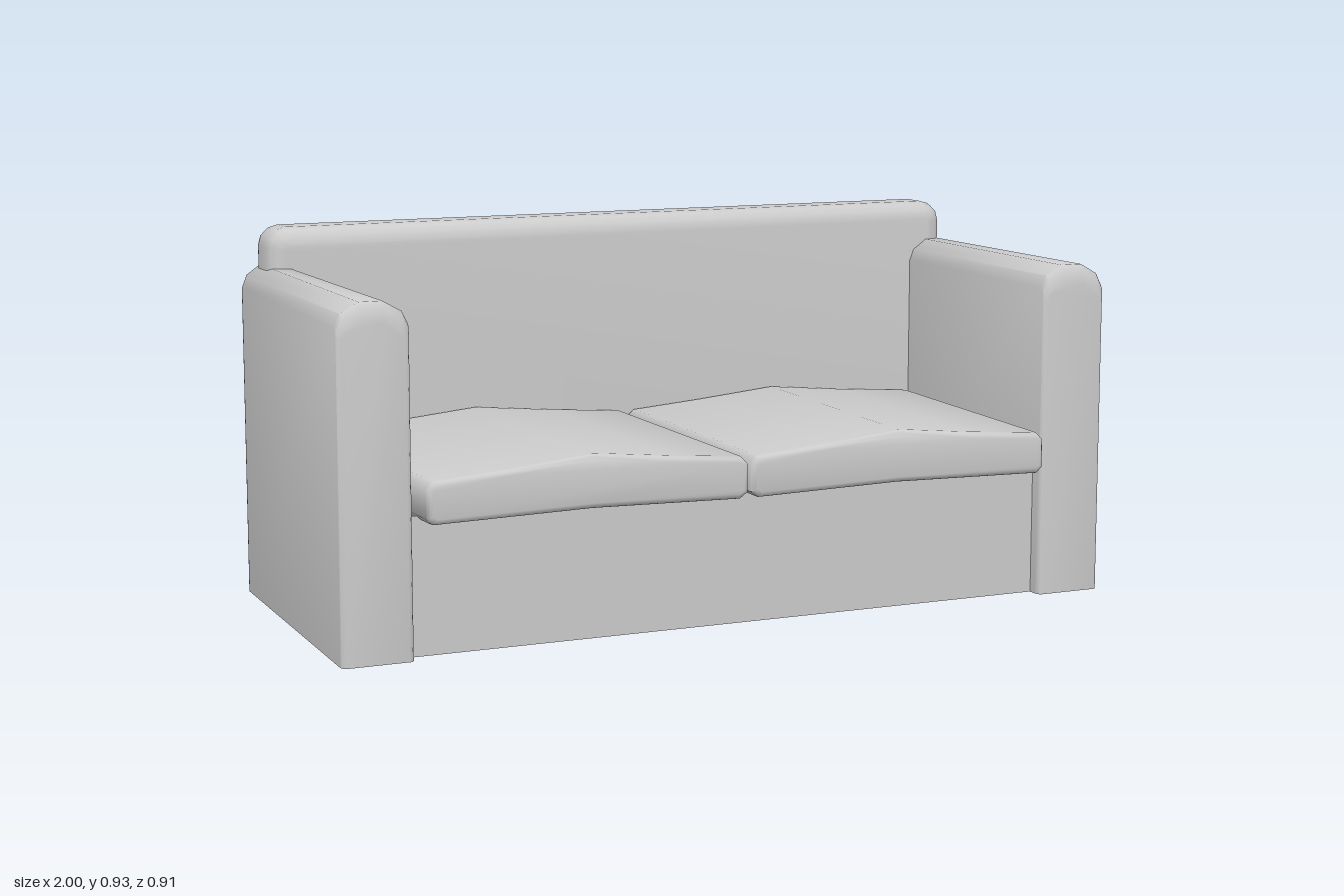
import * as THREE from 'three';
import { toCreasedNormals } from 'three/addons/utils/BufferGeometryUtils.js';

const material = new THREE.MeshStandardMaterial({ color: 0xcccccc, side: THREE.DoubleSide });

// Extrudes a front outline from z0 to z1 with rounded edges, moves the vertices
// by a rule, and leaves out whatever lies flat on the floor (open underside).
function padded(name, outline, z0, z1, bevel, rule = () => {}) {
  const shape = new THREE.Shape(outline.map(([x, y]) => new THREE.Vector2(x, y)));
  const raw = new THREE.ExtrudeGeometry(shape, {
    depth: z1 - z0 - 2 * bevel.thickness,
    bevelThickness: bevel.thickness,
    bevelSize: bevel.size,
    bevelOffset: -bevel.size,
    bevelSegments: 3,
  });
  raw.translate(0, 0, z0 + bevel.thickness);
  const src = raw.attributes.position;
  const v = new THREE.Vector3();
  const kept = [];
  for (let i = 0; i < src.count; i += 3) {
    const tri = [];
    for (let k = 0; k < 3; k++) {
      v.fromBufferAttribute(src, i + k);
      rule(v);
      v.y = Math.max(0, v.y);
      tri.push(v.x, v.y, v.z);
    }
    if (tri[1] + tri[4] + tri[7] > 1e-6) kept.push(...tri);
  }
  const geometry = new THREE.BufferGeometry();
  geometry.setAttribute('position', new THREE.Float32BufferAttribute(kept, 3));
  const mesh = new THREE.Mesh(toCreasedNormals(geometry, 0.9), material);
  mesh.name = name;
  return mesh;
}

// Mirrors an outline in x, keeping it counter-clockwise
const mirror = (points, side) =>
  side > 0 ? points : points.map(([x, y]) => [-x, y]).reverse();

export function createModel() {
  const group = new THREE.Group();
  group.name = 'sofa';

  const back = -0.455, armFront = 0.41;

  // Backrest: a tall hollow panel with a fat rounded rim
  const r = 0.05, halfWidth = 0.94, top = 0.93;
  const rim = [];
  for (let i = 0; i <= 3; i++) {
    const a = (i / 3) * Math.PI / 2;
    rim.push([halfWidth - r + r * Math.cos(a), top - r + r * Math.sin(a)]);
  }
  const backOutline = [[halfWidth, -0.1], ...rim, ...mirror(rim, -1), [-halfWidth, -0.1]];
  group.add(padded('backrest', backOutline, back, -0.305, { thickness: 0.042, size: 0.042 }));

  // Arm outline, seen from the front
  const armOutline = [
    [0.825, -0.05], [1, -0.05], [1, 0.775], [0.985, 0.805], [0.94, 0.83],
    [0.885, 0.83], [0.84, 0.805], [0.825, 0.775],
  ];

  // Seat cushion outline with a crown in the middle
  const cushionOutline = [
    [0.025, 0.32], [0.4, 0.328], [0.79, 0.32], [0.806, 0.335], [0.806, 0.405],
    [0.79, 0.422], [0.6, 0.437], [0.4, 0.457], [0.2, 0.437],
    [0.021, 0.422], [0.004, 0.405], [0.004, 0.335],
  ];

  for (const side of [1, -1]) {
    const label = side > 0 ? 'left' : 'right';

    // Arms narrow toward the back and drop at their front and back top edges
    const armRule = (v) => {
      const t = (armFront - v.z) / (armFront - back);
      const x = Math.abs(v.x);
      v.x = side * (0.9125 - 0.003 * t + (x - 0.9125) * (1 - 0.24 * t));
      const edge = Math.max(0, 0.018 - Math.min(armFront - v.z, v.z - back)) / 0.018;
      if (v.y > 0.7) v.y -= 0.035 * edge * edge;
    };
    group.add(padded(`${label}Arm`, mirror(armOutline, side), back, armFront,
      { thickness: 0.018, size: 0.012 }, armRule));

    // Cushions widen toward the back to follow the arms
    const cushionRule = (v) => {
      v.x *= 1 + 0.045 * (0.45 - v.z) / 0.75;
      if (Math.abs(v.x) < 0.1) v.x = side * Math.max(0.003, Math.abs(v.x));
    };
    group.add(padded(`${label}SeatCushion`, mirror(cushionOutline, side), -0.31, 0.455,
      { thickness: 0.016, size: 0.014 }, cushionRule));
  }

  // Plain panel under the cushions
  const panel = new THREE.Mesh(new THREE.PlaneGeometry(1.66, 0.33), material);
  panel.name = 'frontPanel';
  panel.position.set(0, 0.165, 0.37);
  group.add(panel);

  return group;
}
